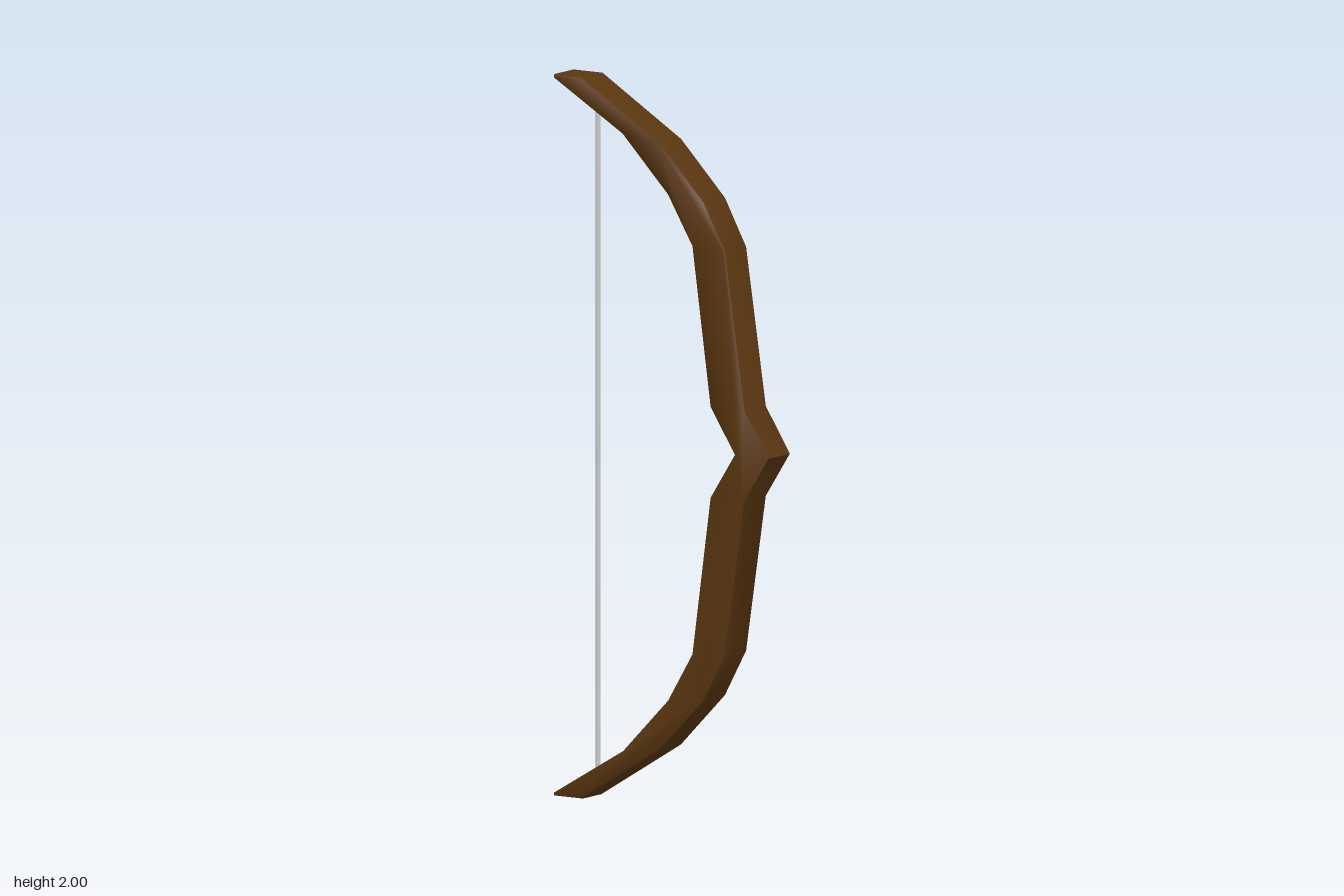
import * as THREE from 'three';
import { toCreasedNormals } from 'three/addons/utils/BufferGeometryUtils.js';

export function createModel() {
  const model = new THREE.Group();
  const wood = new THREE.MeshStandardMaterial({ color: 0x5a3610 });
  const grey = new THREE.MeshStandardMaterial({ color: 0xcccccc });

  // Upper half of the side profile as [z, y], from grip to tip
  const outer = [[0.36, 1], [0.28, 1.125], [0.215, 1.56], [0.145, 1.69], [0, 1.84], [-0.26, 2], [-0.352, 2]];
  const inner = [[0.245, 1], [0.165, 1.125], [0.105, 1.565], [0.025, 1.7], [-0.125, 1.855], [-0.352, 1.99]];

  // Mirror about y = 1 to get each full edge, bottom to top
  const fullEdge = (half) => [
    ...half.slice(1).reverse().map(([z, y]) => [z, 2 - y]),
    ...half,
  ];
  const outline = [...fullEdge(outer), ...fullEdge(inner).reverse()]
    .map(([z, y]) => new THREE.Vector2(-z, y));

  // Bow limbs and grip: one extrusion with slightly rounded edges
  const width = 0.11, bevel = 0.01, inset = 0.006;
  const bowGeometry = new THREE.ExtrudeGeometry(new THREE.Shape(outline), {
    depth: width - 2 * bevel,
    bevelThickness: bevel,
    bevelSize: inset,
    bevelOffset: -inset,
    bevelSegments: 2,
  });
  bowGeometry.translate(0, 0, -width / 2 + bevel);
  bowGeometry.rotateY(Math.PI / 2);
  const bow = new THREE.Mesh(toCreasedNormals(bowGeometry, 0.7), wood);
  bow.name = 'bowLimbs';
  model.add(bow);

  // String between the two tips
  const string = new THREE.Mesh(new THREE.CylinderGeometry(0.007, 0.007, 1.87, 8), grey);
  string.name = 'bowString';
  string.position.set(0, 1, -0.24);
  model.add(string);

  // The whole bow is turned slightly about its upright axis
  model.rotation.y = 0.049;
  return model;
}
